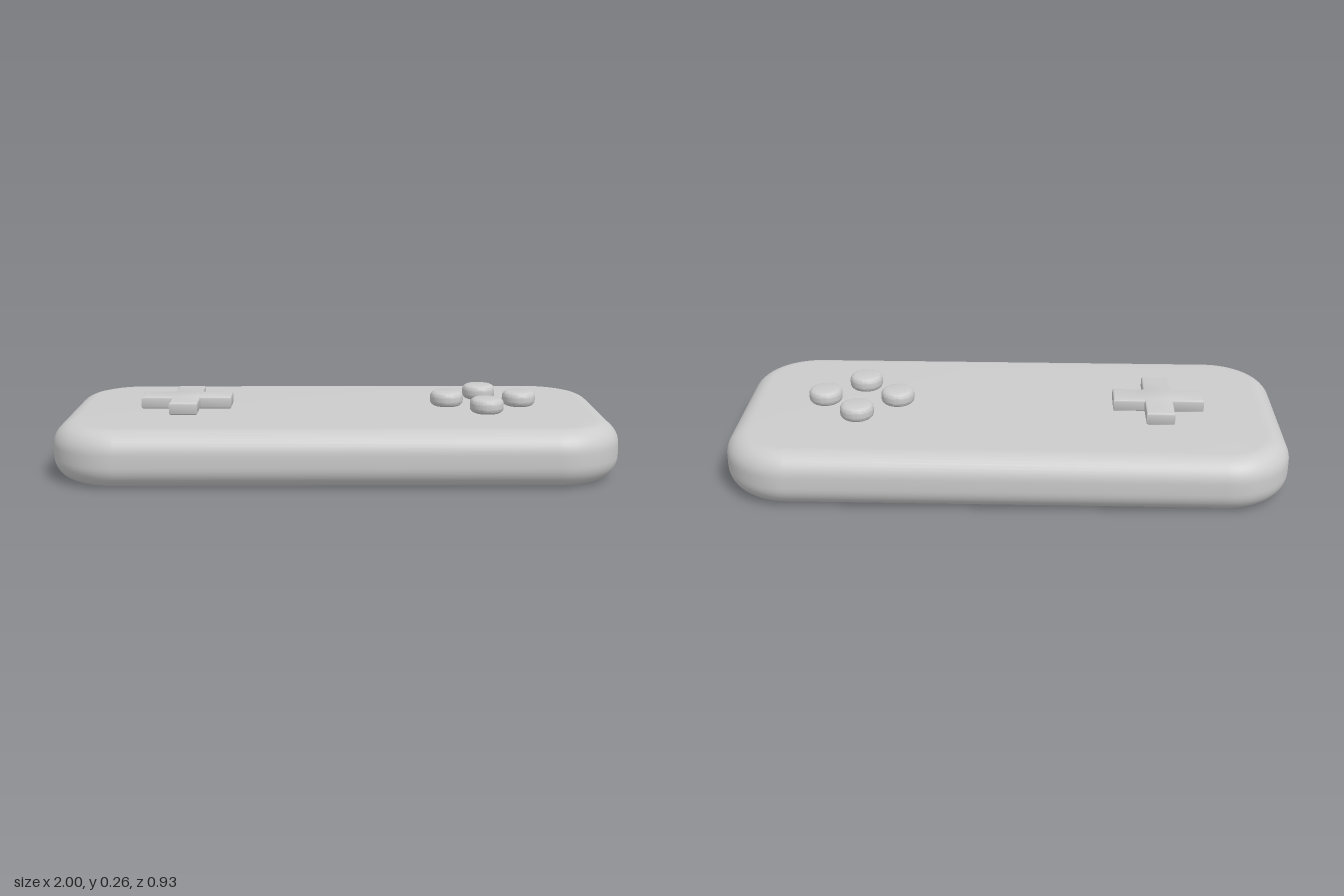
import * as THREE from 'three';
import { toCreasedNormals } from 'three/addons/utils/BufferGeometryUtils.js';

const material = new THREE.MeshStandardMaterial({ color: 0xcccccc });

// Lying slab with rounded rims: the outline is already inset by the bevel.
function slab(name, shape, bottom, top, bevel, bevelSegments, curveSegments = 16) {
  const geometry = new THREE.ExtrudeGeometry(shape, {
    depth: top - bottom - 2 * bevel,
    bevelEnabled: true,
    bevelThickness: bevel,
    bevelSize: bevel,
    bevelSegments,
    curveSegments,
  });
  geometry.rotateX(-Math.PI / 2).translate(0, bottom + bevel, 0);
  const mesh = new THREE.Mesh(toCreasedNormals(geometry, 0.7), material);
  mesh.name = name;
  return mesh;
}

function roundedRect(halfX, halfZ, radius) {
  const shape = new THREE.Shape();
  const cx = halfX - radius, cz = halfZ - radius, q = Math.PI / 2;
  [[cx, cz], [-cx, cz], [-cx, -cz], [cx, -cz]].forEach(([x, z], i) =>
    shape.absarc(x, z, radius, i * q, (i + 1) * q));
  shape.closePath();
  return shape;
}

// Plus outline: arm reach r, half arm width w
function plus(r, w) {
  return new THREE.Shape([
    [r, -w], [r, w], [w, w], [w, r], [-w, r], [-w, w],
    [-r, w], [-r, -w], [-w, -w], [-w, -r], [w, -r], [w, -w],
  ].map(([x, y]) => new THREE.Vector2(x, y)));
}

export function createModel() {
  const model = new THREE.Group();
  model.name = 'gameController';

  // Body
  const rim = 0.08;
  model.add(slab('body', roundedRect(1 - rim, 0.466 - rim, 0.24 - rim), 0, 0.2, rim, 10));

  // Direction pad
  const edge = 0.008;
  const pad = slab('directionPad', plus(0.165 - edge, 0.051 - edge), 0.2, 0.246, edge, 4);
  pad.position.x = -0.55;
  model.add(pad);

  // Four round buttons in a diamond
  const buttons = new THREE.Group();
  buttons.name = 'buttons';
  buttons.position.x = 0.545;
  const round = 0.02, spread = 0.134;
  const disc = new THREE.Shape().absarc(0, 0, 0.061 - round, 0, Math.PI * 2);
  ['right', 'back', 'left', 'front'].forEach((side, i) => {
    const button = slab(side + 'Button', disc, 0.203, 0.257, round, 6, 32);
    const angle = i * Math.PI / 2;
    button.position.set(spread * Math.cos(angle), 0, -spread * Math.sin(angle));
    buttons.add(button);
  });
  model.add(buttons);

  return model;
}
